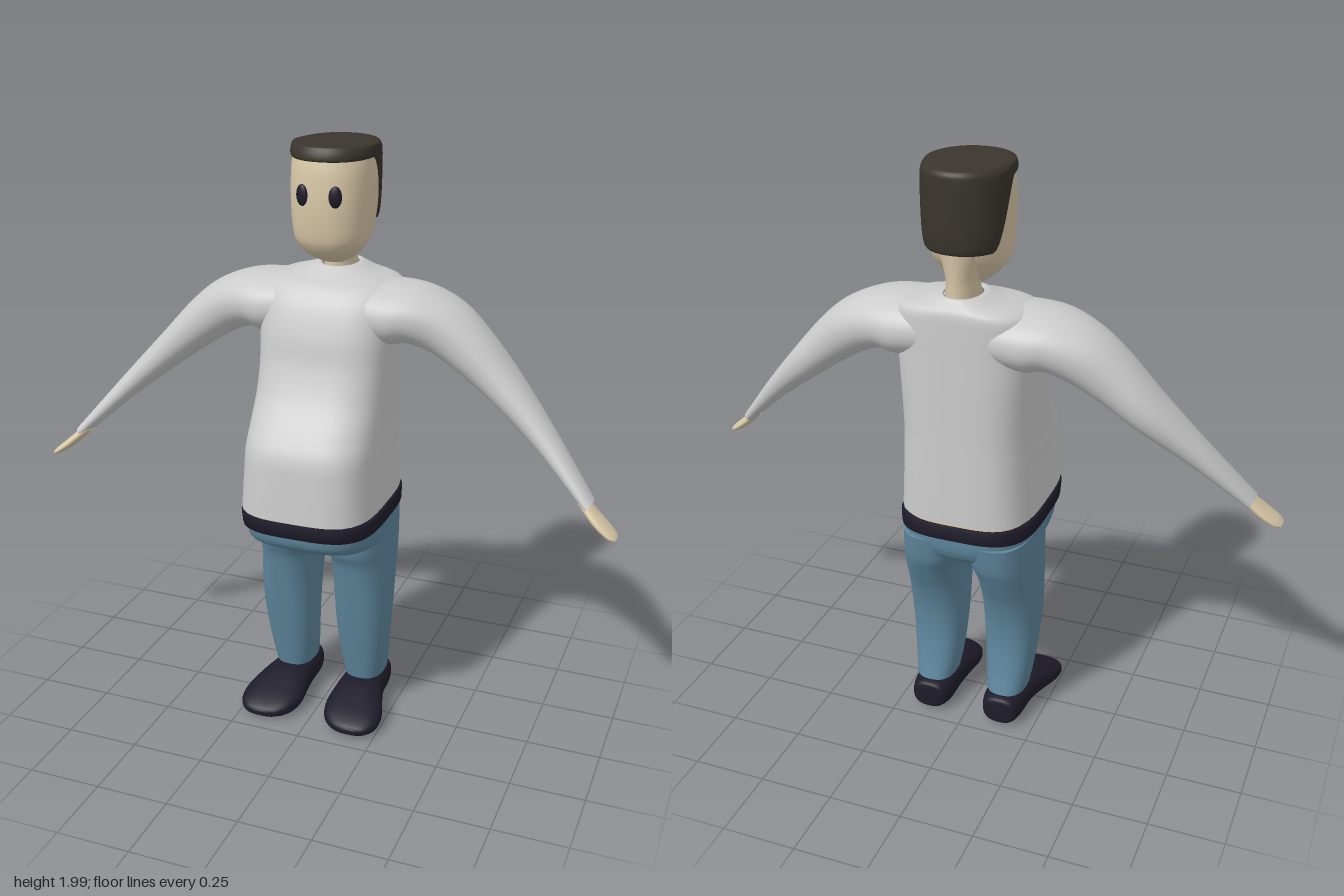
import * as THREE from 'three';

const SHIRT = 0xcccccc, SKIN = 0xd9c8a8, HAIR = 0x3a352d, DARK = 0x1e1b29, JEANS = 0x5f879e;

// Sections are [centre xyz, u xyz, v xyz, roundness exponent], with u x v along the loft
const level = (y, x0, x1, zb, zf, n = 2.4) =>
  [(x0 + x1) / 2, y, (zb + zf) / 2, (x1 - x0) / 2, 0, 0, 0, 0, (zb - zf) / 2, n];
const centred = ([y, w, zb, zf, n]) => level(y, -w, w, zb, zf, n);
const slanted = ([tx, ty, bx, by, zb, zf, n = 2.2]) =>
  [(tx + bx) / 2, (ty + by) / 2, (zb + zf) / 2, (tx - bx) / 2, (ty - by) / 2, 0, 0, 0, (zf - zb) / 2, n];
const upright = ([z, x0, x1, y0, y1, n = 2.6]) =>
  [(x0 + x1) / 2, (y0 + y1) / 2, z, (x1 - x0) / 2, 0, 0, 0, (y1 - y0) / 2, 0, n];

// Smooth skin through superellipse sections; optional flat ends
function loft(stations, { sub = 6, seg = 56, capStart = true, capEnd = true } = {}) {
  const rows = [];
  for (let i = 0; i < stations.length - 1; i++) {
    const s = k => stations[Math.min(Math.max(k, 0), stations.length - 1)];
    for (let k = 0; k < sub; k++) {
      const t = k / sub;
      rows.push(s(i).map((b, d) => {
        const a = s(i - 1)[d], c = s(i + 1)[d], e = s(i + 2)[d];
        return b + 0.5 * t * (c - a + t * (2 * a - 5 * b + 4 * c - e + t * (3 * (b - c) + e - a)));
      }));
    }
  }
  rows.push(stations[stations.length - 1]);
  const pos = [], index = [];
  const addRing = r => {
    for (let j = 0; j < seg; j++) {
      const a = j / seg * Math.PI * 2, c = Math.cos(a), s = Math.sin(a);
      const k = Math.pow(Math.abs(c) ** r[9] + Math.abs(s) ** r[9], -1 / r[9]);
      for (let d = 0; d < 3; d++) pos.push(r[d] + k * (c * r[3 + d] + s * r[6 + d]));
    }
  };
  rows.forEach(addRing);
  for (let i = 0; i < rows.length - 1; i++) for (let j = 0; j < seg; j++) {
    const a = i * seg + j, b = i * seg + (j + 1) % seg;
    index.push(a, b, a + seg, b, b + seg, a + seg);
  }
  const cap = (r, flip) => {
    const base = pos.length / 3;
    addRing(r);
    pos.push(r[0], r[1], r[2]);
    for (let j = 0; j < seg; j++) {
      const a = base + j, b = base + (j + 1) % seg;
      index.push(base + seg, flip ? b : a, flip ? a : b);
    }
  };
  if (capStart) cap(rows[0], true);
  if (capEnd) cap(rows[rows.length - 1], false);
  const g = new THREE.BufferGeometry();
  g.setAttribute('position', new THREE.Float32BufferAttribute(pos, 3));
  g.setIndex(index);
  g.computeVertexNormals();
  return g;
}

function mirrored(geo) {
  const g = geo.clone().scale(-1, 1, 1), ix = g.index.array;
  for (let i = 0; i < ix.length; i += 3) [ix[i], ix[i + 1]] = [ix[i + 1], ix[i]];
  g.computeVertexNormals();
  return g;
}

export function createModel() {
  const model = new THREE.Group();
  const add = (name, geo, color, side = THREE.FrontSide) => {
    const m = new THREE.Mesh(geo, new THREE.MeshStandardMaterial({ color, side }));
    m.name = name;
    model.add(m);
  };
  const pair = (name, geo, color, side) => {
    add('left' + name, geo, color, side);
    add('right' + name, mirrored(geo), color, side);
  };

  // Shirt body, open at the hem and collar
  add('shirt', loft([
    [0.83, 0.23, -0.28, 0.285, 3.6], [0.95, 0.223, -0.28, 0.277, 3.6], [1.04, 0.22, -0.28, 0.266, 3.5],
    [1.11, 0.218, -0.28, 0.228, 3.3], [1.2, 0.218, -0.28, 0.165, 3.2], [1.3, 0.22, -0.28, 0.122, 3.2],
    [1.4, 0.225, -0.28, 0.1, 3.1], [1.49, 0.23, -0.28, 0.065, 3], [1.545, 0.21, -0.278, 0.02, 2.8],
    [1.572, 0.12, -0.265, -0.04, 2.4], [1.592, 0.068, -0.25, -0.075, 2.1], [1.585, 0.058, -0.245, -0.085, 2],
  ].map(centred), { capStart: false, capEnd: false }), SHIRT, THREE.DoubleSide);

  // Sleeves and hands
  pair('Sleeve', loft([
    [0.08, 1.555, 0.1, 1.37, -0.27, 0.04], [0.2, 1.557, 0.21, 1.355, -0.278, 0.055],
    [0.31, 1.545, 0.265, 1.365, -0.266, 0.04], [0.42, 1.5, 0.34, 1.34, -0.245, 0.012],
    [0.51, 1.425, 0.44, 1.28, -0.218, 0], [0.62, 1.302, 0.56, 1.195, -0.188, 0],
    [0.76, 1.14, 0.71, 1.08, -0.11, 0.02], [0.913, 0.953, 0.887, 0.925, -0.018, 0.075],
  ].map(slanted)), SHIRT);
  pair('Hand', loft([
    [0.885, 0.965, 0.865, 0.942, 0, 0.062], [0.94, 0.915, 0.92, 0.89, 0.003, 0.092],
    [0.985, 0.876, 0.968, 0.857, 0.018, 0.1], [1.0, 0.86, 0.993, 0.85, 0.036, 0.09],
  ].map(slanted)), SKIN);

  // Bare waist showing between hem and belt
  add('waist', loft([
    [0.79, 0.217, -0.27, 0.255, 3.6], [0.88, 0.213, -0.268, 0.255, 3.6],
  ].map(centred), { sub: 1 }), SKIN);

  // Belt
  add('belt', loft([
    [0.768, 0.224, -0.274, 0.255, 3.6], [0.77, 0.234, -0.284, 0.272, 3.6],
    [0.813, 0.236, -0.284, 0.278, 3.6], [0.817, 0.224, -0.274, 0.265, 3.6],
  ].map(centred), { sub: 1 }), DARK);

  // Trousers: hips with the overhanging belly, then legs
  add('hips', loft([
    [0.655, 0.14, -0.2, 0.06, 2.6], [0.668, 0.19, -0.235, 0.1, 2.8], [0.685, 0.213, -0.255, 0.155, 3],
    [0.705, 0.221, -0.268, 0.222, 3.2], [0.735, 0.224, -0.277, 0.255, 3.4], [0.79, 0.225, -0.28, 0.265, 3.6],
  ].map(centred)), JEANS);
  pair('Leg', loft([
    [0.12, 0.065, 0.2, -0.185, -0.005], [0.2, 0.053, 0.212, -0.167, 0.012], [0.3, 0.045, 0.222, -0.156, 0.034],
    [0.4, 0.04, 0.229, -0.164, 0.054], [0.5, 0.037, 0.23, -0.192, 0.072], [0.6, 0.03, 0.227, -0.237, 0.092],
    [0.66, 0.012, 0.225, -0.262, 0.115], [0.75, 0.0, 0.222, -0.278, 0.12],
  ].map(([y, a, b, c, d]) => level(y, a, b, c, d, 2.6))), JEANS);

  // Shoes, toes turned slightly out
  pair('Shoe', loft([
    [-0.207, 0.1, 0.165, 0.03, 0.095], [-0.198, 0.075, 0.19, 0.014, 0.112], [-0.15, 0.06, 0.203, 0.007, 0.12],
    [-0.06, 0.057, 0.21, 0.008, 0.12], [0.01, 0.052, 0.228, 0.006, 0.116], [0.09, 0.046, 0.253, 0.005, 0.092],
    [0.15, 0.062, 0.252, 0.006, 0.07], [0.188, 0.1, 0.225, 0.012, 0.05], [0.2, 0.14, 0.19, 0.02, 0.036],
  ].map(upright)), DARK);

  // Neck and head
  add('neck', loft([
    [1.5, 0.055, -0.245, -0.085, 2], [1.6, 0.05, -0.246, -0.09, 2],
    [1.66, 0.054, -0.25, -0.08, 2], [1.76, 0.09, -0.26, -0.05, 2],
  ].map(centred)), SKIN);
  add('head', loft([
    [1.605, 0.035, -0.15, -0.075, 2], [1.618, 0.058, -0.165, -0.04, 2.1], [1.64, 0.085, -0.18, -0.002, 2.2],
    [1.67, 0.109, -0.2, 0.024, 2.3], [1.71, 0.123, -0.225, 0.038, 2.4], [1.8, 0.131, -0.255, 0.048, 2.4],
    [1.9, 0.134, -0.265, 0.045, 2.3], [1.97, 0.13, -0.265, 0.03, 2.2],
  ].map(centred)), SKIN);

  // Hair cap: lower edge rises from the nape to the fringe
  const low = 1.735, top = 1.99;
  const hair = loft([
    [low, 0.118, -0.258, 0.025, 2.2], [low + 0.002, 0.13, -0.272, 0.046, 2.2], [1.78, 0.137, -0.28, 0.05, 2.2],
    [1.87, 0.139, -0.284, 0.046, 2.2], [1.955, 0.138, -0.286, 0.038, 2.15], [1.978, 0.133, -0.282, 0.033, 2.1],
    [1.988, 0.12, -0.268, 0.018, 2.1], [top, 0.09, -0.23, -0.02, 2],
  ].map(centred), { seg: 96, sub: 5, capStart: false });
  const p = hair.attributes.position;
  for (let i = 0; i < p.count; i++) {
    const edge = low + 0.21 * THREE.MathUtils.smoothstep(p.getZ(i), -0.205, -0.095);
    p.setY(i, edge + (p.getY(i) - low) / (top - low) * (top - edge));
  }
  hair.computeVertexNormals();
  add('hair', hair, HAIR, THREE.DoubleSide);

  // Eyes
  pair('Eye', new THREE.SphereGeometry(1, 24, 16).scale(0.021, 0.034, 0.011)
    .rotateY(0.25).translate(0.055, 1.84, 0.04), DARK);

  return model;
}
